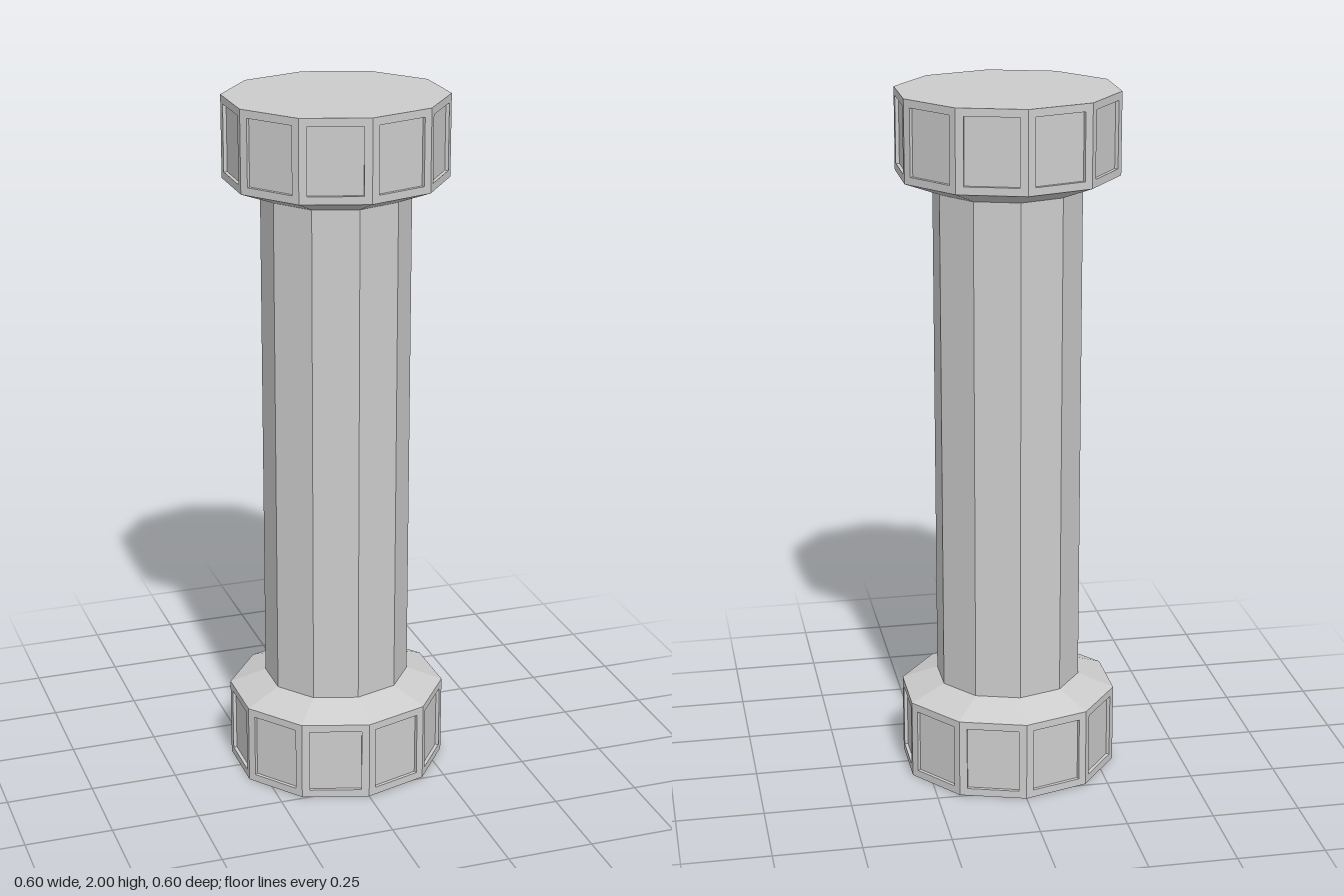
import * as THREE from 'three';

const SIDES = 10, RX = 0.315, RZ = 0.3;   // decagon, slightly wider in x
const HEAD_H = 0.232, BEVEL_TOP = 0.272, SHAFT = 0.667;
const MARGIN = 0.022, DEPTH = 0.01;       // panel border and recess

const material = new THREE.MeshStandardMaterial({ color: 0xcccccc, flatShading: true });

// corner i of the decagon at height y
function corner(i, y, scale = 1) {
  const a = (i / SIDES) * Math.PI * 2;
  return new THREE.Vector3(Math.sin(a) * RX * scale, y, Math.cos(a) * RZ * scale);
}

function buildMesh(name, fill) {
  const pos = [];
  const tri = (...pts) => pts.forEach(p => pos.push(p.x, p.y, p.z));
  const quad = (a, b, c, d) => { tri(a, b, c); tri(a, c, d); };
  fill(quad, tri);
  const geo = new THREE.BufferGeometry();
  geo.setAttribute('position', new THREE.Float32BufferAttribute(pos, 3));
  geo.computeVertexNormals();
  const mesh = new THREE.Mesh(geo, material);
  mesh.name = name;
  return mesh;
}

// one end block: flat cap, framed recessed panels, bevel towards the shaft
function createEnd(name) {
  const group = new THREE.Group();
  group.name = name;
  const center = new THREE.Vector3();

  group.add(buildMesh('endCap', (quad, tri) => {
    for (let i = 0; i < SIDES; i++) tri(center, corner(i + 1, 0), corner(i, 0));
  }));

  group.add(buildMesh('panelledSides', quad => {
    for (let i = 0; i < SIDES; i++) {
      const outer = [corner(i, 0), corner(i + 1, 0), corner(i + 1, HEAD_H), corner(i, HEAD_H)];
      const along = outer[1].clone().sub(outer[0]).normalize();
      const inward = new THREE.Vector3(along.z, 0, -along.x);
      if (inward.dot(outer[0]) > 0) inward.negate();
      const rim = outer.map((p, k) => p.clone()
        .addScaledVector(along, k === 0 || k === 3 ? MARGIN : -MARGIN)
        .setY(p.y + (k < 2 ? MARGIN : -MARGIN)));
      const floor = rim.map(p => p.clone().addScaledVector(inward, DEPTH));
      for (let k = 0; k < 4; k++) {
        const n = (k + 1) % 4;
        quad(outer[k], outer[n], rim[n], rim[k]);   // frame
        quad(rim[k], rim[n], floor[n], floor[k]);   // recess wall
      }
      quad(...floor);
    }
  }));

  group.add(buildMesh('bevel', quad => {
    for (let i = 0; i < SIDES; i++) {
      quad(corner(i, HEAD_H), corner(i + 1, HEAD_H),
        corner(i + 1, BEVEL_TOP, SHAFT), corner(i, BEVEL_TOP, SHAFT));
    }
  }));
  return group;
}

export function createModel() {
  const model = new THREE.Group();
  model.name = 'column';

  const base = createEnd('base');
  const capital = createEnd('capital');
  capital.rotation.x = Math.PI;
  capital.position.y = 2;

  // plain ten-sided shaft between the ends
  const shaft = buildMesh('shaft', quad => {
    for (let i = 0; i < SIDES; i++) {
      quad(corner(i, BEVEL_TOP, SHAFT), corner(i + 1, BEVEL_TOP, SHAFT),
        corner(i + 1, 2 - BEVEL_TOP, SHAFT), corner(i, 2 - BEVEL_TOP, SHAFT));
    }
  });

  model.add(base, shaft, capital);
  return model;
}
